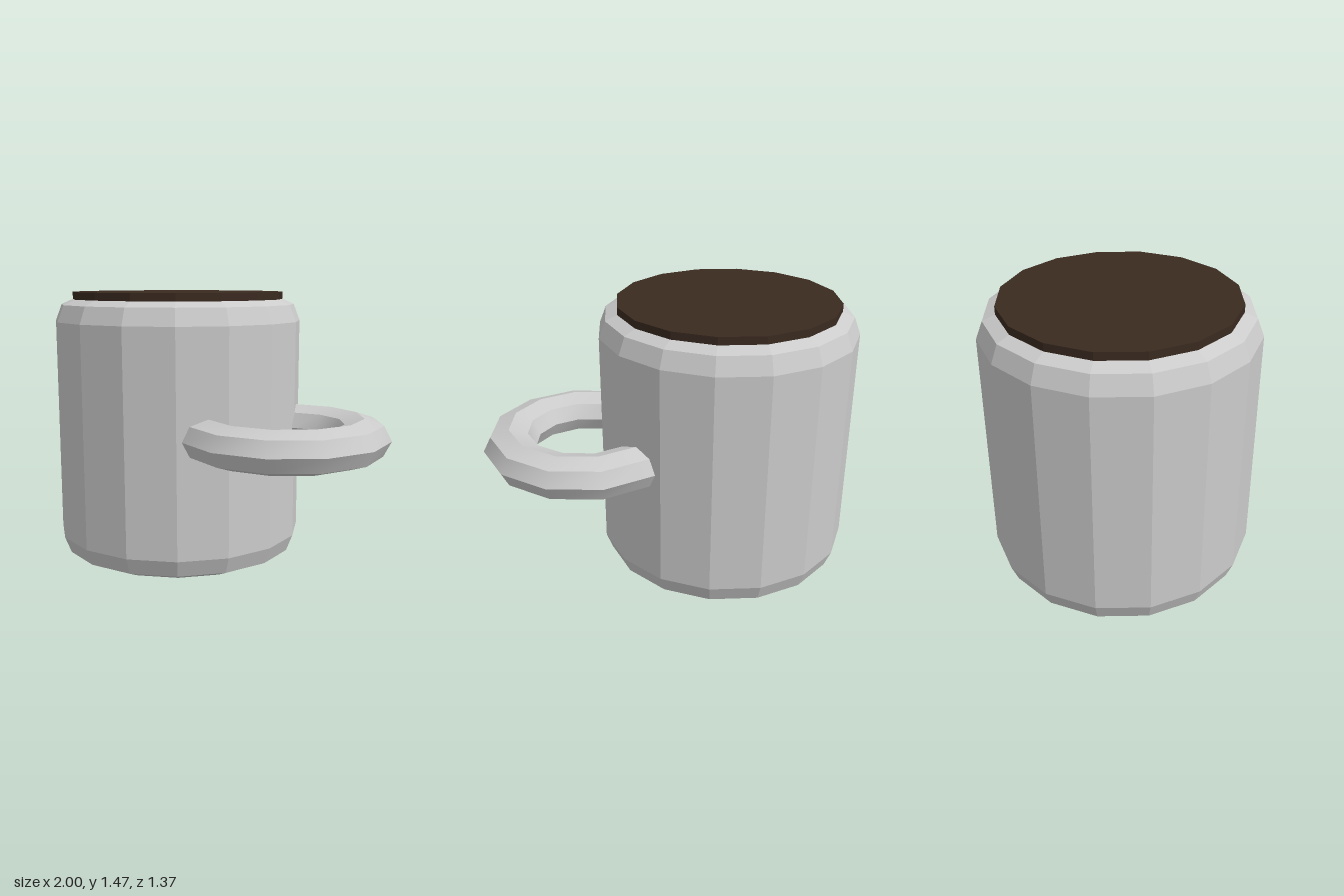
import * as THREE from 'three';
import { toCreasedNormals } from 'three/addons/utils/BufferGeometryUtils.js';

const SIDES = 16;
const BODY_X = -0.315;

export function createModel() {
  const group = new THREE.Group();
  const add = (name, geometry, material, x, y) => {
    const mesh = new THREE.Mesh(geometry, material);
    mesh.name = name;
    mesh.position.set(x, y, 0);
    group.add(mesh);
  };

  // Mug body: closed turned profile with rounded bottom and top edges
  const profile = [
    [0, 0], [0.56, 0], [0.65, 0.04], [0.685, 0.13],
    [0.685, 1.315], [0.65, 1.405], [0.56, 1.445], [0, 1.445],
  ].map(([r, y]) => new THREE.Vector2(r, y));
  add('mugBody', new THREE.LatheGeometry(profile, SIDES),
    new THREE.MeshStandardMaterial({ color: 0xcccccc, flatShading: true }), BODY_X, 0);

  // Dark drink surface: thin disc on top
  add('drink', new THREE.CylinderGeometry(0.587, 0.587, 0.045, SIDES),
    new THREE.MeshStandardMaterial({ color: 0x3a2a20, flatShading: true }), BODY_X, 1.4505);

  // Handle: flattened horizontal ring, two thirds of a turn, meeting the body
  const arc = (Math.PI * 4) / 3;
  const ring = new THREE.TorusGeometry(0.402, 0.137, 8, 8, arc);
  ring.rotateZ(-arc / 2);
  ring.rotateX(Math.PI / 2);
  ring.scale(1, 0.8, 1);
  add('handle', toCreasedNormals(ring, 0.55),
    new THREE.MeshStandardMaterial({ color: 0xcccccc, side: THREE.DoubleSide }), 0.46, 0.748);

  return group;
}
